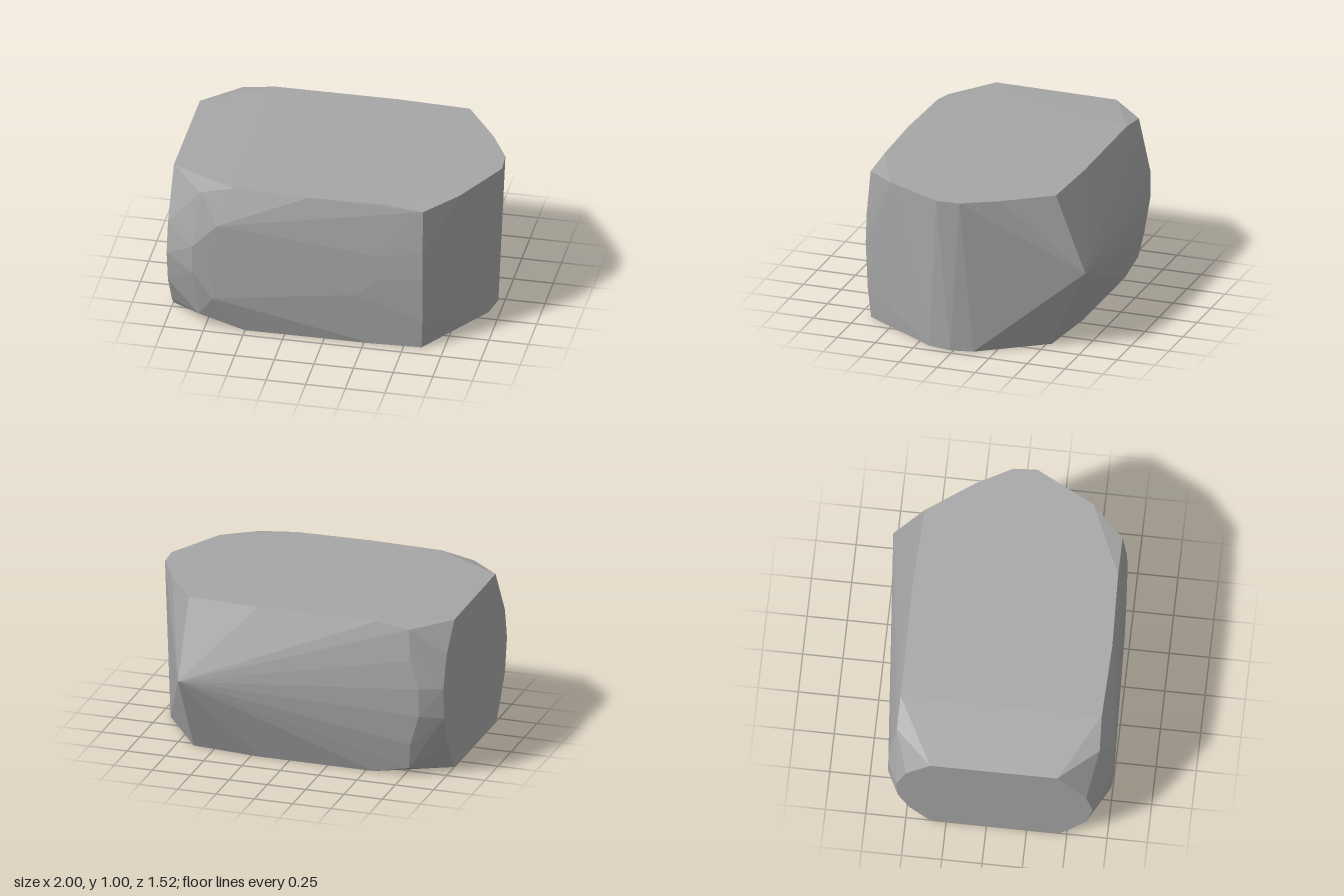
import * as THREE from 'three';
import { ConvexGeometry } from 'three/addons/geometries/ConvexGeometry.js';

// Flat level outline: [x, z] pairs at a given height
const level = (y, pairs) => pairs.map(([x, z]) => new THREE.Vector3(x, y, z));
const corners = (list) => list.map((p) => new THREE.Vector3(...p));

export function createModel() {
  const group = new THREE.Group();
  group.name = 'boulder';
  const stone = new THREE.MeshStandardMaterial({ color: 0xa6a6a6, flatShading: true });
  stone.name = 'grey stone';

  // Flat top
  const top = level(1, [
    [-0.57, -0.58], [0.2, -0.585], [0.66, -0.565], [0.87, -0.27], [0.99, -0.05],
    [1, 0.1], [0.81, 0.47], [0.37, 0.67], [-0.1, 0.685], [-0.57, 0.67],
  ]);
  // Flat underside
  const base = level(0, [
    [-0.55, -0.575], [0.2, -0.575], [0.64, -0.53], [0.93, -0.12], [0.96, 0.02],
    [0.93, 0.17], [0.61, 0.67], [0.3, 0.685], [-0.5, 0.69],
  ]);
  // Cut end at x = -1, as [y, z]
  const end = [
    [0.985, 0.44], [0.68, 0.62], [0.48, 0.66], [0.265, 0.62], [0.06, 0.5], [0, 0.45],
    [0, -0.35], [0.2, -0.48], [0.4, -0.55], [0.6, -0.56], [0.8, -0.5], [0.98, -0.35],
  ].map(([y, z]) => new THREE.Vector3(-1, y, z));
  // Front bulge and its sharp right-hand edge
  const front = corners([
    [-0.78, 0.955, 0.68], [-0.66, 0.77, 0.757], [-0.82, 0.6, 0.755], [-0.82, 0.415, 0.755],
    [-0.69, 0.245, 0.757], [-0.79, 0.085, 0.69], [0.37, 0.65, 0.717], [0.35, 0.48, 0.722],
    [0.2, 0.36, 0.729], [0.62, 0.975, 0.67], [0.622, 0.7, 0.695], [0.622, 0.5, 0.702],
    [0.62, 0.2, 0.69],
  ]);
  // Back shoulder and single back peak
  const back = corners([
    [-0.78, 0.97, -0.58], [-0.8, 0.78, -0.612], [-0.86, 0.6, -0.625], [-0.86, 0.42, -0.625],
    [-0.8, 0.22, -0.61], [-0.78, 0.05, -0.575], [0.665, 0.51, -0.76],
  ]);

  const rock = new THREE.Mesh(new ConvexGeometry([...top, ...base, ...end, ...front, ...back]), stone);
  rock.name = 'rock';
  group.add(rock);
  return group;
}
